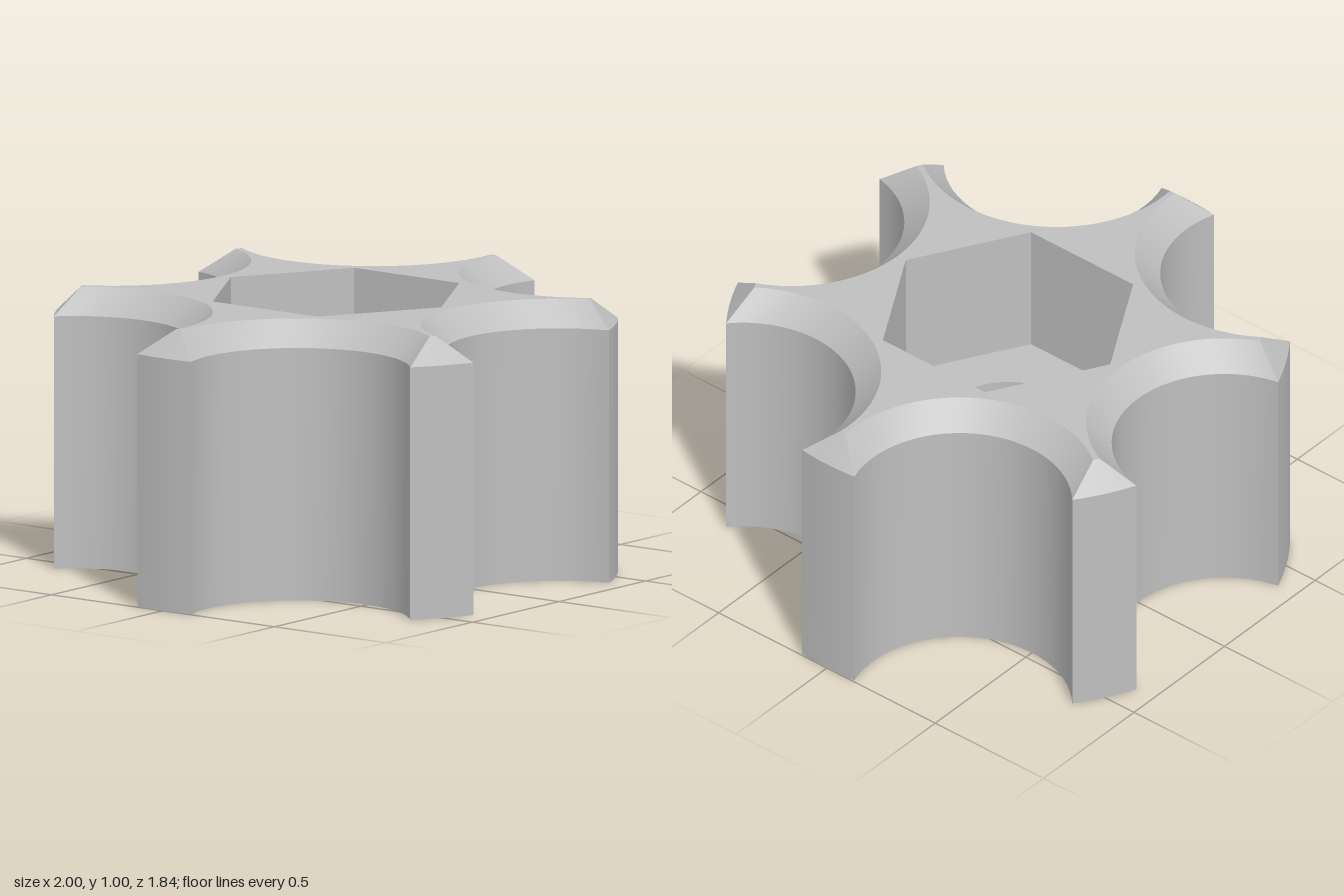
import * as THREE from 'three';
import { toCreasedNormals } from 'three/addons/utils/BufferGeometryUtils.js';

const HEIGHT = 1, CHAMFER = 0.09, POCKET_FLOOR = 0.5;
const LOBES = 6, HOLE_R = 0.245, HEX_R = 0.472;

// Circle of radius R bitten by six scallops of radius r centred on the unit circle
function starOutline(R, r) {
  const pts = [];
  const step = (Math.PI * 2) / LOBES;
  const theta = Math.acos((1 + R * R - r * r) / (2 * R));
  const phi = Math.acos((1 + r * r - R * R) / (2 * r));
  const half = step / 2 - theta;
  const tipSegs = 6, biteSegs = 28;
  for (let k = 0; k < LOBES; k++) {
    const tip = k * step, mid = tip + step / 2;
    for (let i = 0; i < tipSegs; i++) {
      const a = tip - half + (2 * half * i) / tipSegs;
      pts.push(new THREE.Vector2(R * Math.cos(a), R * Math.sin(a)));
    }
    for (let i = 0; i < biteSegs; i++) {
      const a = mid + Math.PI + phi - (2 * phi * i) / biteSegs;
      pts.push(new THREE.Vector2(Math.cos(mid) + r * Math.cos(a), Math.sin(mid) + r * Math.sin(a)));
    }
  }
  return pts;
}

function ngon(radius, sides, turn = 0) {
  return Array.from({ length: sides }, (_, i) => {
    const a = turn + (i / sides) * Math.PI * 2;
    return new THREE.Vector2(radius * Math.cos(a), radius * Math.sin(a));
  });
}

// Closed band between two outlines; inward flips it to face the axis
function band(lower, y0, upper, y1, inward = false) {
  const pos = [];
  const n = lower.length;
  for (let i = 0; i < n; i++) {
    const j = (i + 1) % n;
    const a = [lower[i].x, y0, -lower[i].y], b = [lower[j].x, y0, -lower[j].y];
    const c = [upper[j].x, y1, -upper[j].y], d = [upper[i].x, y1, -upper[i].y];
    pos.push(...(inward ? [a, c, b, a, d, c] : [a, b, c, a, c, d]).flat());
  }
  const geo = new THREE.BufferGeometry();
  geo.setAttribute('position', new THREE.Float32BufferAttribute(pos, 3));
  return toCreasedNormals(geo, 0.4);
}

// Flat face with a hole, facing up or down
function plate(outline, hole, y, down = false) {
  const shape = new THREE.Shape(outline.map((p) => new THREE.Vector2(p.x, down ? -p.y : p.y)));
  shape.holes.push(new THREE.Path(hole));
  return new THREE.ShapeGeometry(shape).rotateX(down ? Math.PI / 2 : -Math.PI / 2).translate(0, y, 0);
}

export function createModel() {
  const group = new THREE.Group();
  group.name = 'starKnob';
  const grey = new THREE.MeshStandardMaterial({ color: 0xbfbfbf });
  grey.name = 'grey';
  const add = (name, geo) => {
    const mesh = new THREE.Mesh(geo, grey);
    mesh.name = name;
    group.add(mesh);
  };

  const outer = starOutline(1, 0.4);
  const rim = starOutline(1 - CHAMFER, 0.4 + CHAMFER);
  const hex = ngon(HEX_R, 6, Math.PI / 2);
  const hole = ngon(HOLE_R, 64);

  // Scalloped body
  add('sideWall', band(outer, 0, outer, HEIGHT - CHAMFER));
  add('chamfer', band(outer, HEIGHT - CHAMFER, rim, HEIGHT));
  add('topFace', plate(rim, hex, HEIGHT));
  add('bottomFace', plate(outer, hole, 0, true));

  // Hexagonal nut pocket and bolt hole
  add('pocketWall', band(hex, POCKET_FLOOR, hex, HEIGHT, true));
  add('pocketFloor', plate(hex, hole, POCKET_FLOOR));
  add('boltHole', band(hole, 0, hole, POCKET_FLOOR, true));
  return group;
}
